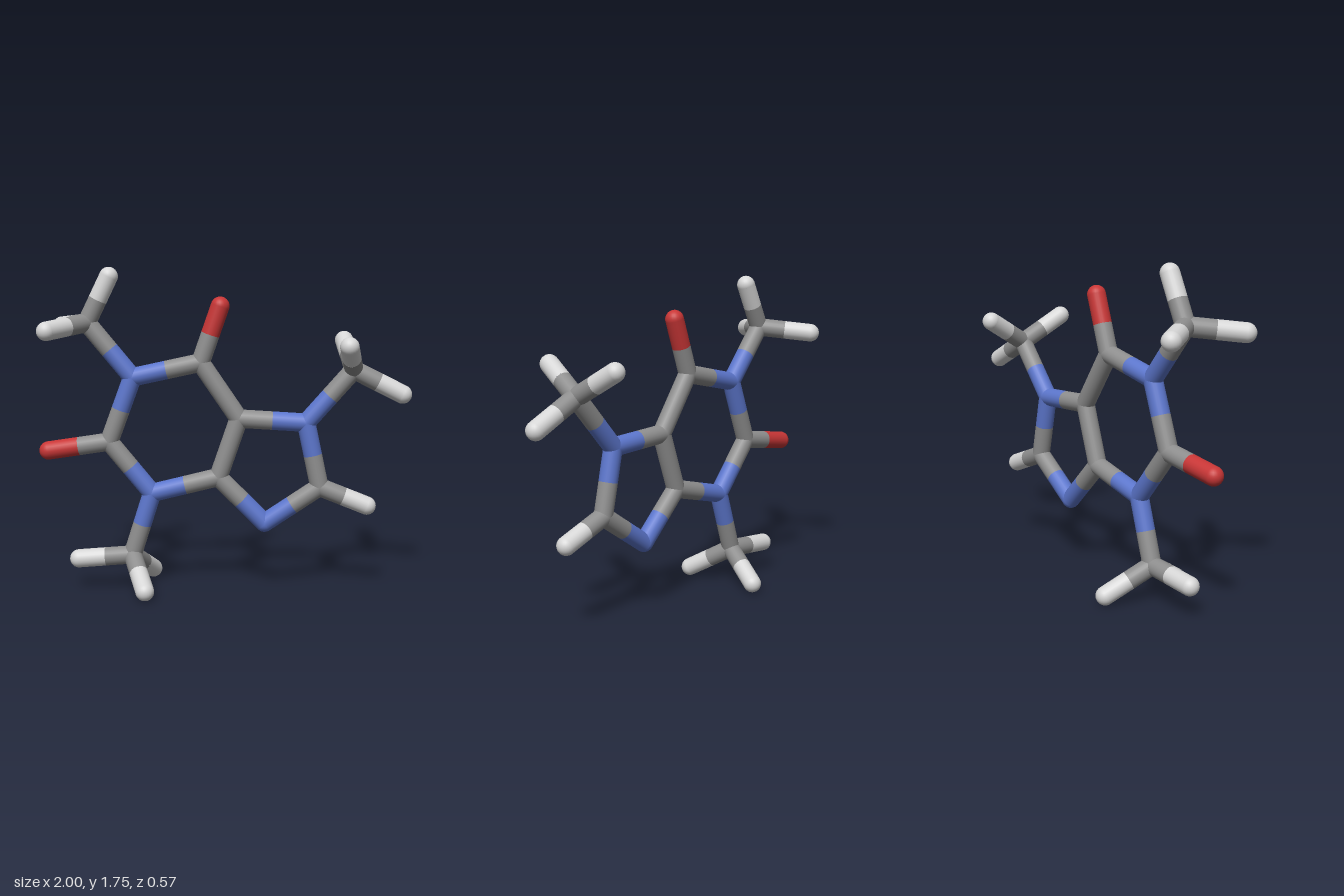
import * as THREE from 'three';

const RADIUS = 0.05;

// name: [element, x, y, z]
const ATOMS = {
  // six-sided ring
  ringNitrogenTop: ['nitrogen', -0.49, 1.17, 0],
  ringCarbonTop: ['carbon', -0.125, 1.25, 0],
  sharedCarbonTop: ['carbon', 0.08, 0.95, 0],
  sharedCarbonBottom: ['carbon', -0.03, 0.63, 0],
  ringNitrogenBottom: ['nitrogen', -0.39, 0.54, 0],
  ringCarbonSide: ['carbon', -0.62, 0.82, 0],
  // five-sided ring
  smallRingNitrogenTop: ['nitrogen', 0.44, 0.93, 0],
  smallRingCarbon: ['carbon', 0.515, 0.58, 0],
  smallRingNitrogenBottom: ['nitrogen', 0.22, 0.38, 0],
  // single atoms on the rings
  oxygenTop: ['oxygen', -0.02, 1.55, 0],
  oxygenSide: ['oxygen', -0.95, 0.77, 0],
  ringHydrogen: ['hydrogen', 0.77, 0.48, 0],
};

const BONDS = [
  ['ringNitrogenTop', 'ringCarbonTop'],
  ['ringCarbonTop', 'sharedCarbonTop'],
  ['sharedCarbonTop', 'sharedCarbonBottom'],
  ['sharedCarbonBottom', 'ringNitrogenBottom'],
  ['ringNitrogenBottom', 'ringCarbonSide'],
  ['ringCarbonSide', 'ringNitrogenTop'],
  ['sharedCarbonTop', 'smallRingNitrogenTop'],
  ['smallRingNitrogenTop', 'smallRingCarbon'],
  ['smallRingCarbon', 'smallRingNitrogenBottom'],
  ['smallRingNitrogenBottom', 'sharedCarbonBottom'],
  ['ringCarbonTop', 'oxygenTop'],
  ['ringCarbonSide', 'oxygenSide'],
  ['smallRingCarbon', 'ringHydrogen'],
];

// Methyl groups: anchor atom, carbon, in-plane hydrogen, mirrored hydrogen pair
const METHYLS = [
  ['upperMethyl', 'ringNitrogenTop', [-0.73, 1.46], [-0.61, 1.705], [-0.905, 1.43]],
  ['lowerMethyl', 'ringNitrogenBottom', [-0.5, 0.195], [-0.795, 0.17], [-0.41, 0.055]],
  ['sideMethyl', 'smallRingNitrogenTop', [0.69, 1.215], [0.95, 1.085], [0.65, 1.355]],
];

export function createModel() {
  const model = new THREE.Group();
  model.name = 'molecule';

  const colours = { carbon: 0x8e8e8e, nitrogen: 0x5c76cc, oxygen: 0xc83636, hydrogen: 0xd6d6d6 };
  const materials = {};
  for (const [name, color] of Object.entries(colours)) {
    materials[name] = new THREE.MeshStandardMaterial({ color });
    materials[name].name = name;
  }

  const atoms = { ...ATOMS };
  const bonds = [...BONDS];
  for (const [name, anchor, c, flat, pair] of METHYLS) {
    atoms[name + 'Carbon'] = ['carbon', ...c, 0];
    bonds.push([anchor, name + 'Carbon']);
    [[...flat, 0], [...pair, 0.235], [...pair, -0.235]].forEach((p, i) => {
      const hydrogen = `${name}Hydrogen${i + 1}`;
      atoms[hydrogen] = ['hydrogen', ...p];
      bonds.push([name + 'Carbon', hydrogen]);
    });
  }

  // Rounded joint or tip at every atom
  const ball = new THREE.SphereGeometry(RADIUS, 24, 16);
  for (const [name, [element, x, y, z]] of Object.entries(atoms)) {
    const mesh = new THREE.Mesh(ball, materials[element]);
    mesh.name = name;
    mesh.position.set(x, y, z);
    model.add(mesh);
  }

  // Each bond is two half sticks, coloured by the nearer atom
  const stick = new THREE.CylinderGeometry(RADIUS, RADIUS, 1, 24, 1, true);
  const up = new THREE.Vector3(0, 1, 0);
  const addHalf = (name, start, end) => {
    const mesh = new THREE.Mesh(stick, materials[atoms[name][0]]);
    const along = end.clone().sub(start);
    mesh.name = name + 'Stick';
    mesh.scale.y = along.length();
    mesh.quaternion.setFromUnitVectors(up, along.normalize());
    mesh.position.copy(start).lerp(end, 0.5);
    model.add(mesh);
  };
  for (const [a, b] of bonds) {
    const pa = new THREE.Vector3(...atoms[a].slice(1));
    const pb = new THREE.Vector3(...atoms[b].slice(1));
    const middle = pa.clone().lerp(pb, 0.5);
    addHalf(a, pa, middle);
    addHalf(b, pb, middle);
  }
  return model;
}
